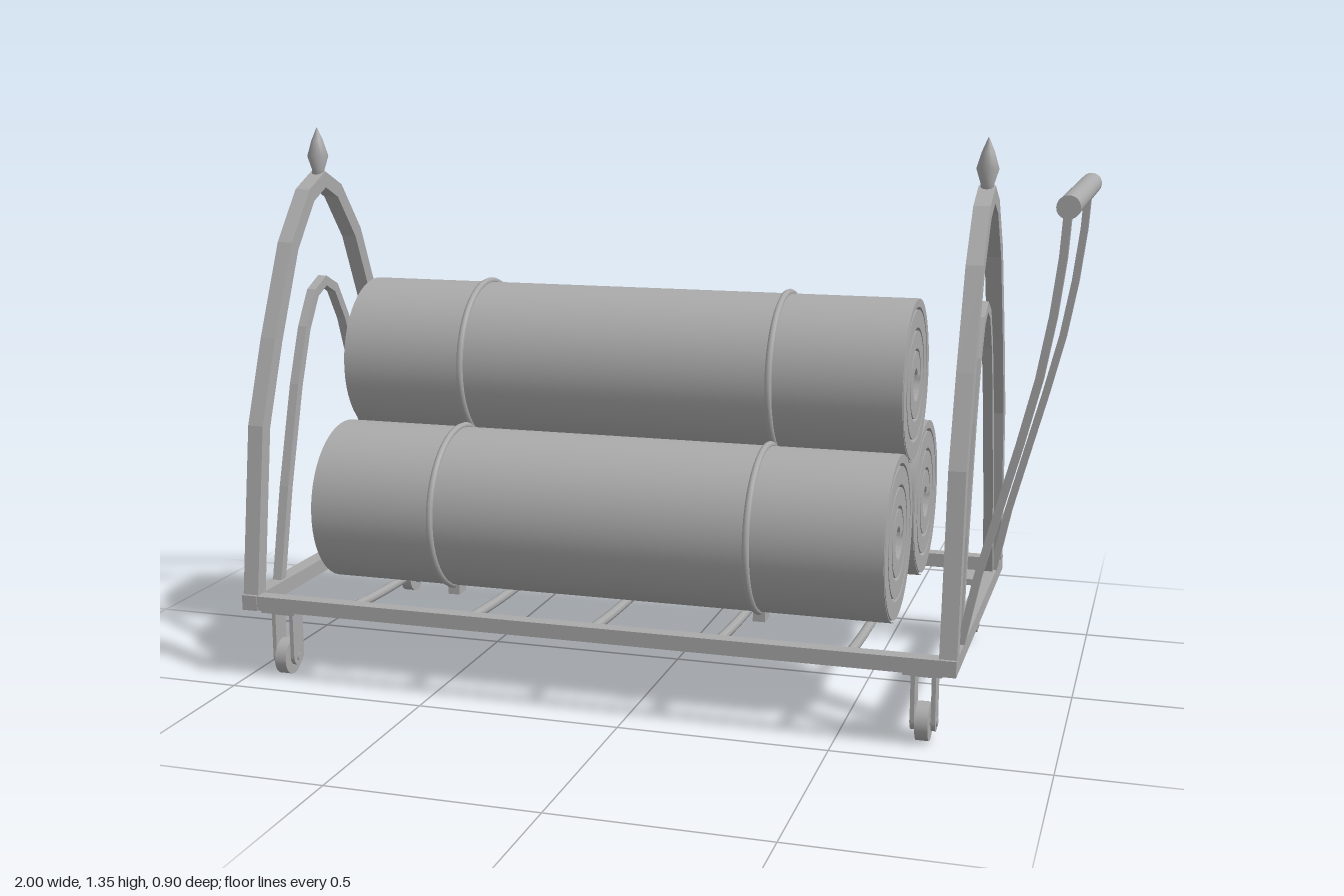
import * as THREE from 'three';
import { toCreasedNormals } from 'three/addons/utils/BufferGeometryUtils.js';

const steel = new THREE.MeshStandardMaterial({ color: 0xaaaaaa });
steel.name = 'plain grey';

function add(parent, name, geometry, x = 0, y = 0, z = 0) {
  const mesh = new THREE.Mesh(geometry, steel);
  mesh.name = name;
  mesh.position.set(x, y, z);
  parent.add(mesh);
  return mesh;
}

// Extrusion centred on its depth; the second helper turns shape x into z
function extrude(shape, depth, options = {}) {
  return new THREE.ExtrudeGeometry(shape, { depth, bevelEnabled: false, ...options }).translate(0, 0, -depth / 2);
}
const alongX = (geometry) => geometry.rotateY(-Math.PI / 2);

// Flat bar of constant width with mitred joints following a polyline
function barShape(points, width) {
  const p = points.map(([x, y]) => new THREE.Vector2(x, y));
  const left = [], right = [];
  p.forEach((point, i) => {
    const a = p[i].clone().sub(p[Math.max(i - 1, 0)]).normalize();
    const b = p[Math.min(i + 1, p.length - 1)].clone().sub(p[i]).normalize();
    const t = a.clone().add(b).normalize();
    const n = new THREE.Vector2(-t.y, t.x);
    const ref = i === 0 ? b : a;
    const half = width / 2 / Math.max(t.dot(ref), 0.5);
    left.push(point.clone().addScaledVector(n, half));
    right.unshift(point.clone().addScaledVector(n, -half));
  });
  return new THREE.Shape([...left, ...right]);
}

function mirrored(half) {
  return [...half, ...half.slice(0, -1).reverse().map(([x, y]) => [-x, y])];
}

// Rolled sheet: a spiral band with a narrow gap between its turns
function rollShape() {
  const pitch = 0.05, gap = 0.007, turns = 3.7, steps = 200, outer = [], inner = [];
  for (let i = 0; i <= steps; i++) {
    const turn = (i / steps) * turns;
    const angle = -1.35 + turn * Math.PI * 2;
    const r = 0.2 - 0.006 * Math.min(turn, 1) - pitch * Math.max(turn - 1, 0);
    const next = 0.2 - 0.006 * Math.min(turn + 1, 1) - pitch * turn;
    const q = Math.max(next + gap, 0.004);
    outer.push(new THREE.Vector2(Math.cos(angle) * r, Math.sin(angle) * r));
    inner.unshift(new THREE.Vector2(Math.cos(angle) * Math.min(q, r - 0.003), Math.sin(angle) * Math.min(q, r - 0.003)));
  }
  return new THREE.Shape([...outer, ...inner]);
}

function createRoll(y, z) {
  const roll = new THREE.Group();
  roll.name = 'roll';
  const sheet = toCreasedNormals(alongX(extrude(rollShape(), 1.42)), 0.6);
  add(roll, 'rolledSheet', sheet);
  // Recessed filling seen through the spiral gap
  add(roll, 'rollCore', new THREE.CylinderGeometry(0.185, 0.185, 1.39, 40).rotateZ(Math.PI / 2));
  for (const x of [-0.395, 0.39]) {
    add(roll, 'strap', new THREE.TorusGeometry(0.2, 0.0085, 8, 48).rotateY(Math.PI / 2), x);
    add(roll, 'strapBuckle', new THREE.BoxGeometry(0.03, 0.03, 0.045), x, -0.2, 0.04);
  }
  roll.position.set(-0.11, y, z);
  return roll;
}

function createCaster(x, z) {
  const caster = new THREE.Group();
  caster.name = 'caster';
  add(caster, 'mountPlate', new THREE.BoxGeometry(0.09, 0.014, 0.095), 0, 0.174, 0);
  add(caster, 'forkCrown', new THREE.BoxGeometry(0.058, 0.01, 0.052), 0, 0.163, 0);
  // Fork cheeks with rounded lower ends
  const cheek = new THREE.Shape();
  cheek.moveTo(0.026, 0.165);
  cheek.lineTo(-0.026, 0.165);
  cheek.lineTo(-0.026, 0.05);
  cheek.absarc(0, 0.05, 0.026, Math.PI, Math.PI * 2, false);
  for (const s of [-1, 1]) add(caster, 'forkCheek', alongX(extrude(cheek, 0.01)), s * 0.024);
  add(caster, 'wheel', new THREE.CylinderGeometry(0.045, 0.045, 0.03, 28).rotateZ(Math.PI / 2), 0, 0.045, 0);
  add(caster, 'axle', new THREE.CylinderGeometry(0.01, 0.01, 0.064, 12).rotateZ(Math.PI / 2), 0, 0.045, 0);
  caster.position.set(x, 0, z);
  return caster;
}

export function createModel() {
  const model = new THREE.Group();
  model.name = 'rollCart';
  const ends = [-0.975, 0.755];

  // Base frame
  for (const s of [-1, 1]) {
    add(model, 'sideRail', new THREE.BoxGeometry(1.73, 0.036, 0.036), -0.11, 0.2, s * 0.43);
  }
  for (const x of ends) add(model, 'endRail', new THREE.BoxGeometry(0.04, 0.038, 0.9), x, 0.2, 0);

  // Sagging cross rods
  for (let i = 0; i < 5; i++) {
    const curve = new THREE.CatmullRomCurve3(
      [[0.44, 0.188], [0.2, 0.173], [0, 0.17], [-0.2, 0.173], [-0.44, 0.188]]
        .map(([z, y]) => new THREE.Vector3(-0.74 + i * 0.314, y, z)));
    add(model, 'crossRod', new THREE.TubeGeometry(curve, 16, 0.012, 8));
  }

  // Pointed arches with finials
  const outerArch = mirrored([[0.425, 0.2], [0.363, 0.63], [0.283, 0.835], [0.178, 1.06], [0.078, 1.18], [0, 1.215]]);
  const innerArch = mirrored([[0.3, 0.2], [0.24, 0.45], [0.165, 0.7], [0.11, 0.84], [0.055, 0.925], [0, 0.95]]);
  const finial = [[0, 1.2], [0.018, 1.22], [0.016, 1.24], [0.027, 1.275], [0.015, 1.315], [0, 1.35]]
    .map(([r, y]) => new THREE.Vector2(r, y));
  for (const x of ends) {
    add(model, 'outerArch', alongX(extrude(barShape(outerArch, 0.038), 0.04)), x);
    add(model, 'innerArch', alongX(extrude(barShape(innerArch, 0.024), 0.024)), x);
    add(model, 'finial', new THREE.LatheGeometry(finial, 16), x);
  }

  // Push handle
  const post = [[0.765, 0.21], [0.8, 0.38], [0.84, 0.53], [0.883, 0.69], [0.92, 0.84], [0.945, 0.98], [0.961, 1.11], [0.968, 1.22]];
  for (const s of [-1, 1]) add(model, 'handlePost', extrude(barShape(post, 0.018), 0.028), 0, 0, s * 0.314);
  add(model, 'handleGrip', new THREE.CylinderGeometry(0.026, 0.026, 0.71, 20).rotateX(Math.PI / 2), 0.97, 1.22, 0);

  // Casters at the corners
  for (const x of [-0.915, 0.695]) for (const s of [-1, 1]) model.add(createCaster(x, s * 0.372));

  // Stack of three strapped rolls
  for (const [y, z] of [[0.425, 0.205], [0.425, -0.205], [0.765, 0]]) model.add(createRoll(y, z));

  return model;
}
